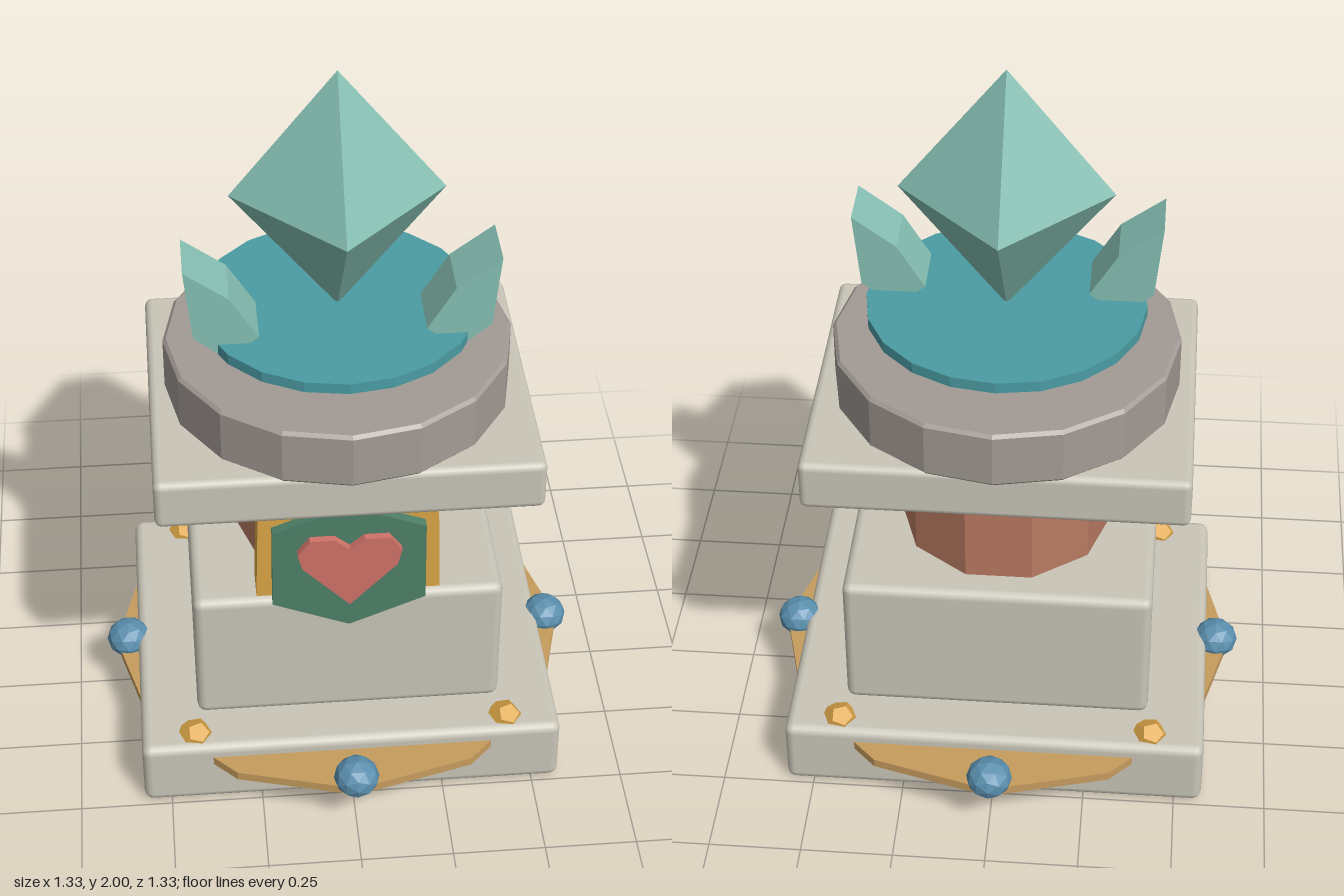
import * as THREE from 'three';
import { RoundedBoxGeometry } from 'three/addons/geometries/RoundedBoxGeometry.js';

const material = (name, color) => {
  const m = new THREE.MeshStandardMaterial({ color });
  m.name = name;
  return m;
};

// Faceted normals
function flat(geometry) {
  const g = geometry.index ? geometry.toNonIndexed() : geometry;
  g.computeVertexNormals();
  return g;
}

// Plate with a straight-edged outline, from z0 to z1
function plate(points, z0, z1) {
  const shape = new THREE.Shape(points.map(([x, y]) => new THREE.Vector2(x, y)));
  return new THREE.ExtrudeGeometry(shape, { depth: z1 - z0, bevelEnabled: false }).translate(0, 0, z0);
}

// Closes a right-half outline (listed top to bottom, ends on x = 0) by mirroring
const mirrored = (half) => [...half, ...half.slice(1, -1).reverse().map(([x, y]) => [-x, y])];

export function createModel() {
  const stone = material('pale stone', 0xc9c5b8);
  const slate = material('grey stone', 0xa39b95);
  const clay = material('clay', 0xb87a62);
  const gold = material('gold', 0xdba547);
  const bronze = material('bronze', 0xc69c5e);
  const teal = material('teal', 0x4b9ca4);
  const crystalGreen = material('crystal green', 0x86bfb3);
  const blue = material('gem blue', 0x5a8fae);
  const green = material('shield green', 0x4d7f68);
  const red = material('heart red', 0xcf7268);

  const model = new THREE.Group();
  model.name = 'crystalPedestal';
  const add = (name, geometry, mat, x = 0, y = 0, z = 0) => {
    const mesh = new THREE.Mesh(geometry, mat);
    mesh.name = name;
    mesh.position.set(x, y, z);
    model.add(mesh);
    return mesh;
  };
  const block = (name, w, d, y0, y1, r) =>
    add(name, new RoundedBoxGeometry(w, y1 - y0, d, 2, r), stone, 0, (y0 + y1) / 2, 0);

  // Stacked stone blocks
  block('base', 1.15, 0.98, 0, 0.195, 0.025);
  block('plinth', 0.835, 0.716, 0.195, 0.602, 0.025);
  block('topSlab', 1.01, 0.84, 0.922, 1.065, 0.02);

  // Ten-sided column
  add('column', flat(new THREE.CylinderGeometry(0.29, 0.29, 0.33, 10).rotateY(Math.PI / 2)), clay, 0, 0.76, 0);

  // Bevelled round cap with a floating disc
  const capProfile = [[0, 1.06], [0.452, 1.06], [0.461, 1.07], [0.461, 1.212], [0.452, 1.221], [0, 1.221]];
  add('roundCap', flat(new THREE.LatheGeometry(capProfile.map(([x, y]) => new THREE.Vector2(x, y)), 16)), slate);
  add('floatingDisc', flat(new THREE.CylinderGeometry(0.368, 0.368, 0.03, 20)), teal, 0, 1.302, 0);

  // Main crystal
  add('crystal', new THREE.OctahedronGeometry(1).scale(0.277, 0.347, 0.277), crystalGreen, 0, 1.653, 0);

  // Side shards
  const shard = [[0.403, 1.54], [0.288, 1.455], [0.215, 1.335], [0.298, 1.27], [0.383, 1.34]];
  for (const s of [1, -1]) {
    const points = shard.map(([x, y]) => [s * x, y]);
    add(s > 0 ? 'leftShard' : 'rightShard', plate(points, 0.017, 0.172), crystalGreen);
  }

  // Shield with a heart
  add('shieldBack', plate(mirrored([[0, 0.965], [0.238, 0.872], [0.247, 0.58], [0, 0.48]]), 0.243, 0.337), gold);
  add('shieldFace', plate(mirrored([[0, 0.918], [0.203, 0.838], [0.205, 0.593], [0, 0.508]]), 0.337, 0.366), green);
  const heart = [[0, 0.79], [0.04, 0.823], [0.105, 0.823], [0.138, 0.778], [0.126, 0.73], [0, 0.598]];
  add('heart', plate(mirrored(heart), 0.366, 0.387), red);

  // Twelve-sided disc through the base
  add('baseDisc', flat(new THREE.CylinderGeometry(0.638, 0.638, 0.025, 12)), bronze, 0, 0.145, 0);

  // Blue gems around the disc
  for (let i = 0; i < 4; i++) {
    const a = i * Math.PI / 2;
    const gem = flat(new THREE.IcosahedronGeometry(0.062, 1).scale(1, 0.87, 1));
    add('baseGem', gem, blue, 0.602 * Math.sin(a), 0.168, 0.602 * Math.cos(a)).rotation.y = a;
  }

  // Gold studs on the base corners
  for (const x of [-1, 1]) {
    for (const z of [-1, 1]) {
      const stud = new THREE.DodecahedronGeometry(0.05).scale(1, 0.8, 1);
      add('cornerStud', stud, gold, x * 0.427, 0.186, z * 0.427).rotation.y = 0.4;
    }
  }

  return model;
}
